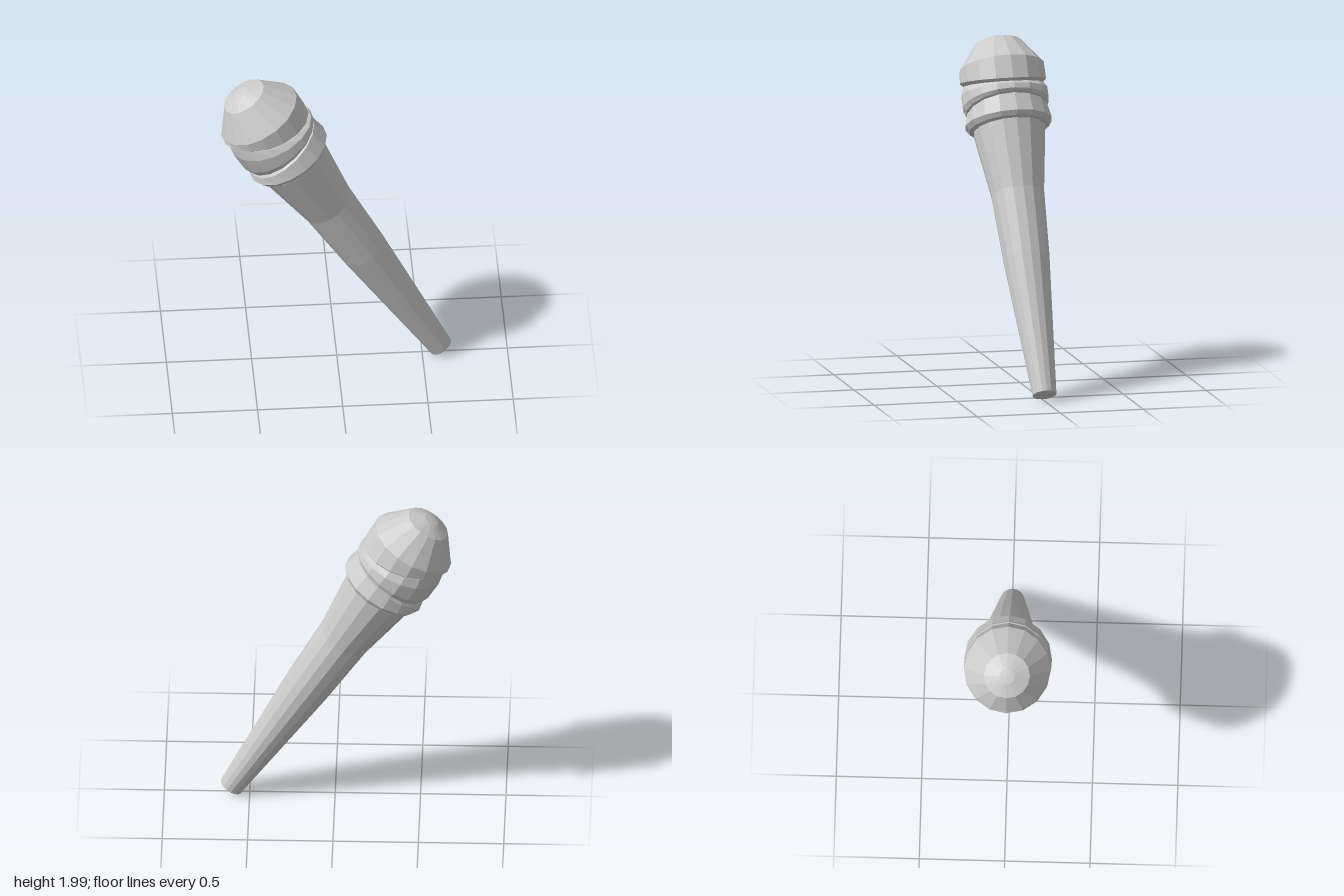
import * as THREE from 'three';

const SIDES = 16;
const TILT = THREE.MathUtils.degToRad(31.6);

// Turned part whose rings may lean: each row is [radius, height at -x, height at +x, x offset]
function leaningLathe(name, rows, material) {
  const profile = rows.map(([r, a, b = a]) => new THREE.Vector2(r, (a + b) / 2));
  const geometry = new THREE.LatheGeometry(profile, SIDES);
  const pos = geometry.attributes.position;
  for (let i = 0; i < pos.count; i++) {
    const [r, a, b = a, shift = 0] = rows[i % rows.length];
    const x = pos.getX(i);
    if (r > 0) pos.setY(i, (a + b) / 2 + (x / r) * (b - a) / 2);
    pos.setX(i, x + shift);
  }
  geometry.computeVertexNormals();
  const mesh = new THREE.Mesh(geometry, material);
  mesh.name = name;
  return mesh;
}

export function createModel() {
  const material = new THREE.MeshStandardMaterial({
    color: 0xcccccc, flatShading: true, side: THREE.DoubleSide,
  });

  const microphone = new THREE.Group();
  microphone.name = 'microphone';

  // Tapered handle with a closed end
  microphone.add(leaningLathe('handle', [
    [0, 0], [0.071, 0], [0.138, 0.86], [0.157, 1.26], [0.215, 1.66], [0.2, 1.7],
  ], material));

  // Collar, thicker on the +x side
  microphone.add(leaningLathe('collar', [
    [0.205, 1.66, 1.66], [0.238, 1.685, 1.67], [0.258, 1.72, 1.695],
    [0.241, 1.745, 1.81], [0.215, 1.765, 1.82],
  ], material));

  // Wedge-shaped band between the two leaning grooves
  microphone.add(leaningLathe('headBand', [
    [0.215, 1.76, 1.815], [0.241, 1.775, 1.82], [0.256, 1.82, 1.835],
    [0.256, 1.945, 1.865], [0.236, 2.02, 1.885], [0.21, 2.025, 1.89],
  ], material));

  // Domed grille with a leaning lower rim
  microphone.add(leaningLathe('grilleDome', [
    [0.21, 2.02, 1.885], [0.238, 2.025, 1.89], [0.255, 2.047, 1.897],
    [0.252, 2.06, 2.04, 0.01], [0.135, 2.212, 2.21, 0.004],
    [0.045, 2.246, 2.246, 0.004], [0, 2.25, 2.25, 0.004],
  ], material));

  // Lean the whole microphone over its lower end
  microphone.rotation.z = TILT;
  microphone.position.set(0.61, 0.04, 0);

  const model = new THREE.Group();
  model.add(microphone);
  return model;
}
